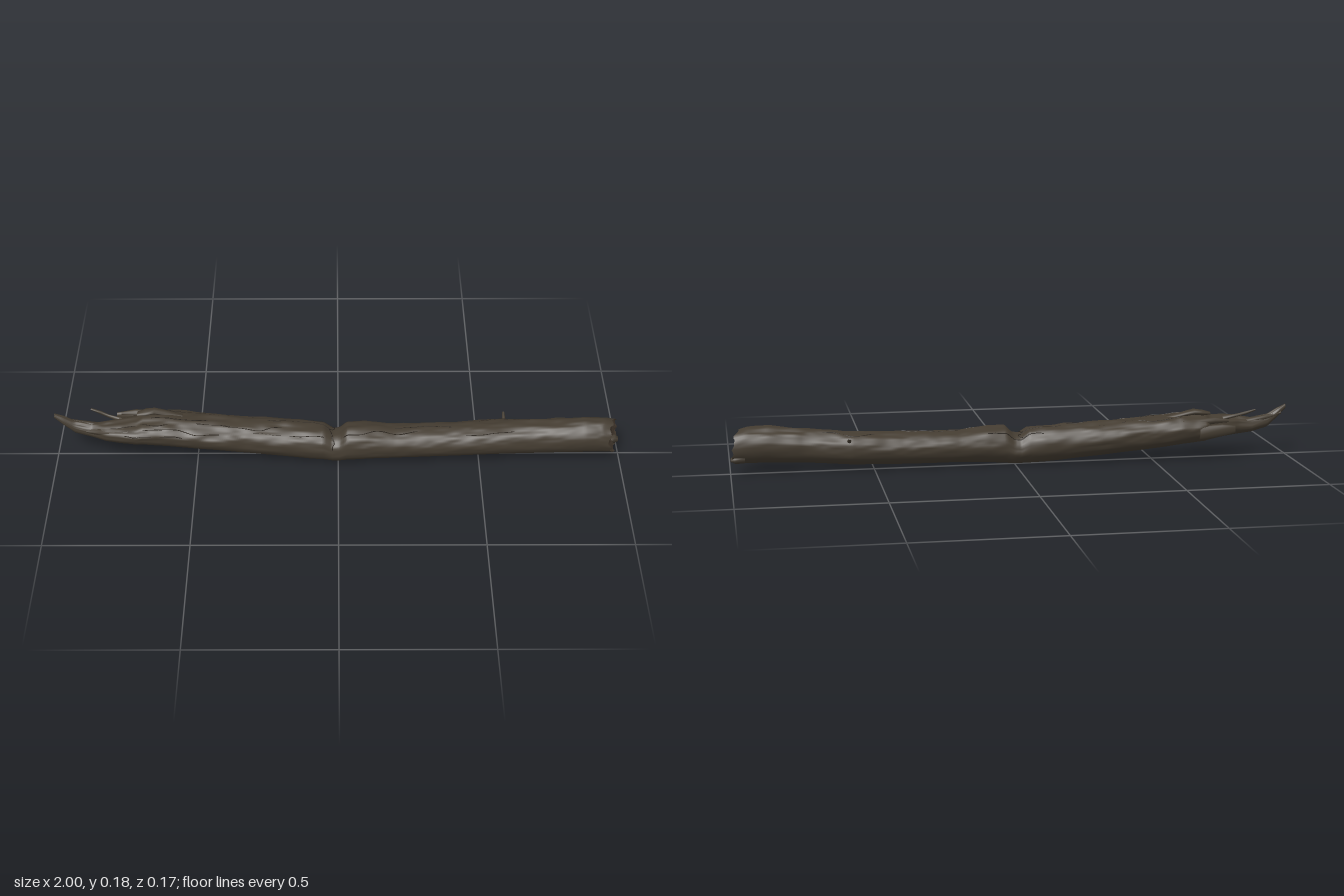
import * as THREE from 'three';

// Log outline: x, bottom, top, back z, front z
const SECTIONS = [
  [-1.0, 0.172, 0.188, -0.002, 0.012], [-0.97, 0.142, 0.175, -0.012, 0.018],
  [-0.93, 0.106, 0.152, -0.015, 0.02], [-0.87, 0.09, 0.14, -0.022, 0.028],
  [-0.82, 0.083, 0.15, -0.024, 0.05], [-0.77, 0.077, 0.157, -0.036, 0.06],
  [-0.71, 0.068, 0.158, -0.06, 0.065], [-0.69, 0.066, 0.166, -0.08, 0.066],
  [-0.6, 0.057, 0.168, -0.083, 0.066], [-0.5, 0.045, 0.158, -0.08, 0.066],
  [-0.3, 0.026, 0.148, -0.074, 0.068], [-0.1, 0.008, 0.138, -0.06, 0.076],
  [-0.05, 0.006, 0.133, -0.054, 0.078], [-0.02, 0.005, 0.112, -0.051, 0.08],
  [0.005, 0.005, 0.116, -0.05, 0.081], [0.03, 0.007, 0.14, -0.05, 0.083],
  [0.1, 0.012, 0.14, -0.05, 0.083], [0.2, 0.017, 0.131, -0.051, 0.08],
  [0.4, 0.019, 0.134, -0.055, 0.073], [0.58, 0.025, 0.142, -0.06, 0.07],
  [0.66, 0.03, 0.148, -0.052, 0.071], [0.75, 0.036, 0.156, -0.042, 0.075],
  [0.87, 0.04, 0.168, -0.038, 0.077], [0.94, 0.04, 0.167, -0.036, 0.075],
  [0.975, 0.038, 0.158, -0.036, 0.074],
];
const X0 = -1, X1 = 0.975, SEG = 44, STATIONS = 260;

const hash = (x, y, z) => {
  const s = Math.sin(x * 127.1 + y * 311.7 + z * 74.7) * 43758.5453;
  return s - Math.floor(s);
};
const mix = (a, b, t) => a + (b - a) * t;
const clamp = (v) => Math.min(1, Math.max(0, v));

// Smooth value noise, -1 to 1
function noise(x, y, z) {
  const i = Math.floor(x), j = Math.floor(y), k = Math.floor(z);
  const f = (v) => v * v * (3 - 2 * v);
  const u = f(x - i), v = f(y - j), w = f(z - k);
  const row = (b, c) => mix(hash(i, b, c), hash(i + 1, b, c), u);
  return 2 * mix(mix(row(j, k), row(j + 1, k), v), mix(row(j, k + 1), row(j + 1, k + 1), v), w) - 1;
}

function section(x) {
  let i = 0;
  while (i < SECTIONS.length - 2 && SECTIONS[i + 1][0] < x) i++;
  const a = SECTIONS[i], b = SECTIONS[i + 1];
  const t = clamp((x - a[0]) / (b[0] - a[0]));
  return a.map((v, n) => mix(v, b[n], t));
}

// Point on the bark; angle 0 is the top, a quarter turn is the front
function surface(x, angle, lift = 0) {
  const [, yb, yt, zb, zf] = section(x);
  const c = Math.cos(angle), s = Math.sin(angle);
  const ry = (yt - yb) / 2, rz = (zf - zb) / 2;
  const rough = mix(0.015, 0.1, clamp(c * 0.8 + 0.5)) * mix(1, 1.6, clamp(-x * 1.4));
  const ridges = noise(x * 9, c * 4 + 9, s * 4 + 5) * 0.55
    + noise(x * 22, c * 9 + 3, s * 9 + 7) * 0.45;
  const k = 1 + rough * ridges + lift / Math.min(ry, rz);
  const y = (yb + yt) / 2 + ry * k * c, z = (zb + zf) / 2 + rz * k * s;
  // The sawn end leans and is ragged around its rim
  const end = clamp((x - 0.9) / 0.075);
  const lean = -0.3 * (z - 0.02) - 0.1 * (y - 0.1) + 0.009 * noise(4, c * 4 + 2, s * 4 + 8);
  return new THREE.Vector3(x + end * lean, y, z);
}

// Skin a list of rings, optionally closing both ends
function loft(rings, caps = true) {
  const n = rings[0].length, pos = [], index = [];
  rings.forEach((r) => r.forEach((p) => pos.push(p.x, p.y, p.z)));
  for (let i = 0; i < rings.length - 1; i++) {
    for (let j = 0; j < n; j++) {
      const a = i * n + j, b = i * n + (j + 1) % n;
      index.push(a, b, a + n, b, b + n, a + n);
    }
  }
  if (caps) {
    const last = (rings.length - 1) * n;
    for (let j = 1; j < n - 1; j++) {
      index.push(0, j + 1, j, last, last + j, last + j + 1);
    }
  }
  const geo = new THREE.BufferGeometry();
  geo.setAttribute('position', new THREE.Float32BufferAttribute(pos, 3));
  geo.setIndex(index);
  geo.computeVertexNormals();
  return geo;
}

const ring = (fn, n = SEG) => Array.from({ length: n }, (_, j) => fn((j / n) * Math.PI * 2));

// Splinter running along +x through points [x, y, z, half height, half depth]
function splinter(points) {
  return loft(points.map(([x, y, z, h, d], i) => ring((a) => {
    const k = 1 + 0.25 * noise(i * 3.1, Math.cos(a) * 2 + x * 9, Math.sin(a) * 2);
    return new THREE.Vector3(x, y + h * k * Math.cos(a), z + d * k * Math.sin(a));
  }, 10)));
}

export function createModel() {
  const bark = new THREE.MeshStandardMaterial({ color: 0x443c31 });
  const crackWood = new THREE.MeshStandardMaterial({ color: 0x2b251e });
  const cutWood = new THREE.MeshStandardMaterial({ color: 0x463b30 });
  bark.name = 'bark';
  crackWood.name = 'dark crack';
  cutWood.name = 'cut wood';

  const log = new THREE.Group();
  log.name = 'fallenLog';
  const add = (name, geo, mat) => {
    const mesh = new THREE.Mesh(geo, mat);
    mesh.name = name;
    log.add(mesh);
  };

  // Trunk
  const rings = [];
  for (let i = 0; i <= STATIONS; i++) {
    const x = mix(X0, X1, i / STATIONS);
    rings.push(ring((a) => surface(x, a)));
  }
  add('trunk', loft(rings, false), bark);
  add('brokenTip', loft([rings[0], rings[0].map((p) => p.clone().setX(p.x + 0.002))]), bark);

  // Worn cut end, sunk toward its middle
  const rim = rings[STATIONS];
  const centre = new THREE.Vector3(0.965, 0.1, 0.02);
  const endRings = [1, 0.93, 0.8, 0.62, 0.42, 0.2, 0.01].map((k) => rim.map((p) => {
    const q = centre.clone().lerp(p, k);
    if (k < 1) q.x += 0.007 * noise(q.y * 40, q.z * 40, 3) - 0.004;
    return q;
  }));
  add('cutEnd', loft(endRings, false), cutWood);
  add('endSplinter', splinter([
    [0.95, 0.062, -0.008, 0.016, 0.022], [0.985, 0.06, -0.012, 0.014, 0.018], [0.999, 0.058, -0.014, 0.006, 0.01],
  ]), bark);

  // Ragged splinters around the broken end
  const splinters = [
    [[-0.79, 0.118, -0.077, 0.014, 0.006], [-0.74, 0.115, -0.08, 0.02, 0.01], [-0.66, 0.11, -0.072, 0.024, 0.014]],
    [[-0.875, 0.178, -0.036, 0.003, 0.004], [-0.84, 0.166, -0.03, 0.006, 0.005],
      [-0.81, 0.157, -0.022, 0.006, 0.006], [-0.76, 0.145, -0.012, 0.008, 0.009]],
    [[-0.71, 0.168, -0.022, 0.005, 0.012], [-0.68, 0.172, -0.025, 0.009, 0.018],
      [-0.65, 0.176, -0.026, 0.01, 0.017], [-0.61, 0.168, -0.024, 0.009, 0.015], [-0.55, 0.155, -0.02, 0.008, 0.012]],
    [[-0.98, 0.158, -0.008, 0.004, 0.004], [-0.93, 0.143, -0.006, 0.01, 0.008], [-0.85, 0.13, 0, 0.012, 0.016]],
    [[-0.89, 0.122, 0.02, 0.004, 0.005], [-0.84, 0.127, 0.032, 0.012, 0.012], [-0.74, 0.125, 0.04, 0.02, 0.018]],
    [[-0.77, 0.145, -0.055, 0.005, 0.006], [-0.72, 0.147, -0.056, 0.01, 0.011], [-0.6, 0.14, -0.055, 0.014, 0.016]],
  ];
  splinters.forEach((s, i) => add(`splinter${i + 1}`, splinter(s), bark));

  // Twig stub on the back
  const twig = new THREE.CylinderGeometry(0.004, 0.008, 0.04, 8);
  twig.rotateX(-1.1).translate(0.59, 0.122, -0.058);
  add('twigStub', twig, bark);

  // Cracks running with the grain: start x, end x, angle
  const cracks = [
    [-0.8, -0.6, 0.6], [-0.7, -0.42, 0.95], [-0.66, -0.46, 0.1], [-0.5, -0.2, 0.45], [-0.6, -0.3, -0.5],
    [-0.3, -0.05, 0.75], [-0.25, -0.03, -0.2], [0.02, 0.28, 0.5], [0.2, 0.4, 0.1],
    [0.45, 0.62, 0.7], [0.5, 0.68, -0.5], [-0.75, -0.55, 1.3], [-0.1, 0.1, -0.8],
  ];
  cracks.forEach(([a, b, angle], i) => {
    const path = [];
    for (let t = 0; t <= 24; t++) {
      const x = mix(a, b, t / 24);
      path.push(surface(x, angle + 0.2 * noise(x * 14, i * 5.3, 2), -0.0008));
    }
    add(`crack${i + 1}`, new THREE.TubeGeometry(new THREE.CatmullRomCurve3(path), 60, 0.0018, 5), crackWood);
  });

  // Crack across the notch
  const notch = [];
  for (let t = 0; t <= 20; t++) notch.push(surface(-0.02 + 0.012 * noise(t * 0.5, 1, 4), mix(-0.7, 1.2, t / 20), -0.0005));
  add('notchCrack', new THREE.TubeGeometry(new THREE.CatmullRomCurve3(notch), 50, 0.002, 5), crackWood);

  return log;
}
